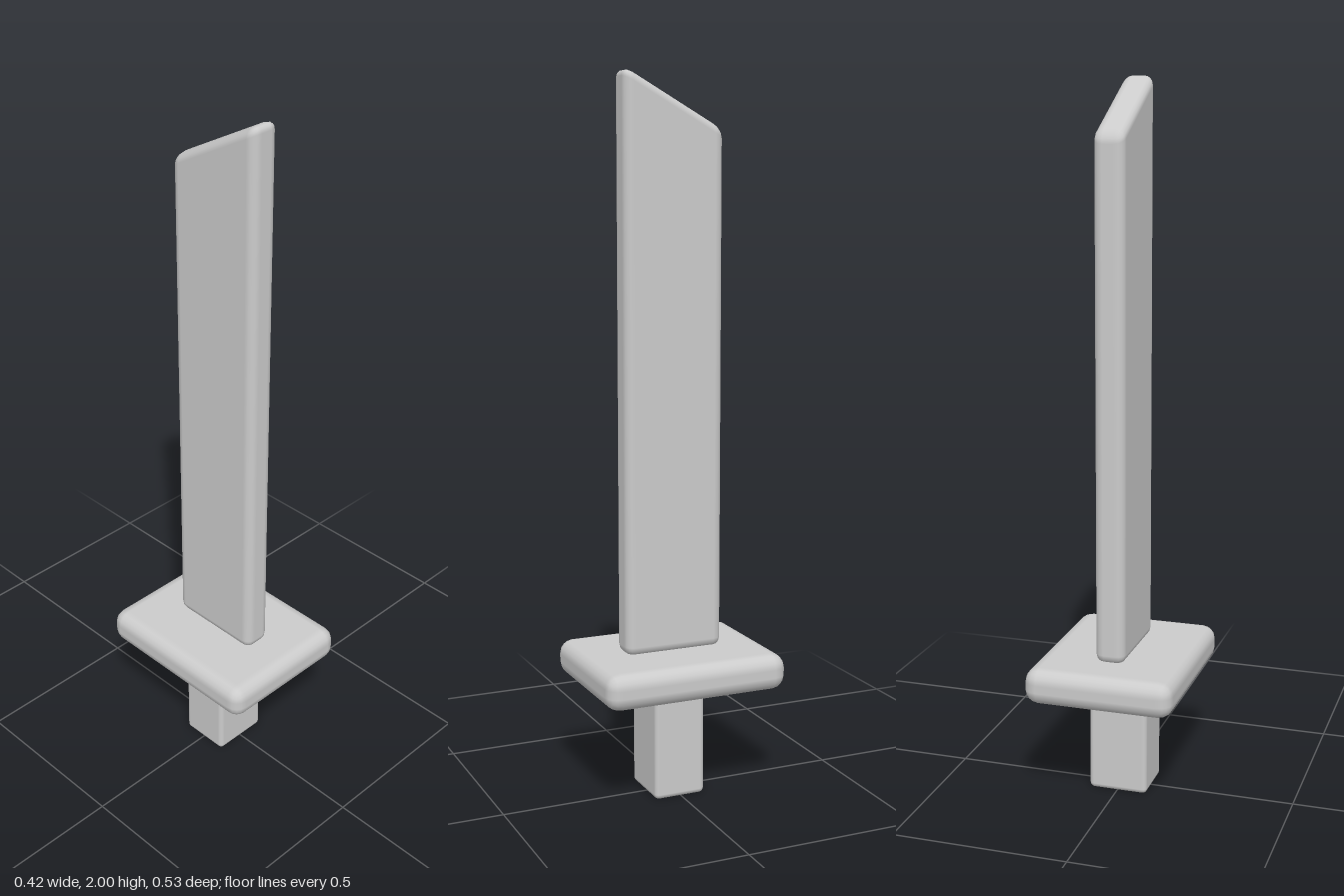
import * as THREE from 'three';
import { RoundedBoxGeometry } from 'three/addons/geometries/RoundedBoxGeometry.js';

const material = new THREE.MeshStandardMaterial({ color: 0xcccccc });

// Rounded block given by its [min, max] on each axis
function block(name, [x0, x1], [y0, y1], [z0, z1], radius) {
  const geometry = new RoundedBoxGeometry(x1 - x0, y1 - y0, z1 - z0, 2, radius);
  const mesh = new THREE.Mesh(geometry, material);
  mesh.name = name;
  mesh.position.set((x0 + x1) / 2, (y0 + y1) / 2, (z0 + z1) / 2);
  return mesh;
}

// Shear the upper half along z so the top becomes a slanted tip
function slantTop(geometry, slope) {
  const p = geometry.attributes.position;
  const n = geometry.attributes.normal;
  const v = new THREE.Vector3();
  for (let i = 0; i < p.count; i++) {
    if (p.getY(i) <= 0) continue;
    p.setY(i, p.getY(i) + slope * p.getZ(i));
    v.fromBufferAttribute(n, i);
    v.z -= slope * v.y;
    v.normalize();
    n.setXYZ(i, v.x, v.y, v.z);
  }
}

export function createModel() {
  const sword = new THREE.Group();
  sword.name = 'sword';

  // Long blade with its high point at the front edge
  const blade = block('blade', [-0.044, 0.042], [0.41, 1.932], [-0.143, 0.147], 0.027);
  slantTop(blade.geometry, 0.545);

  // Wide hand guard and short square grip
  const guard = block('guard', [-0.211, 0.211], [0.315, 0.417], [-0.267, 0.267], 0.04);
  const grip = block('grip', [-0.088, 0.082], [0, 0.345], [-0.07, 0.08], 0.014);

  sword.add(blade, guard, grip);
  return sword;
}
